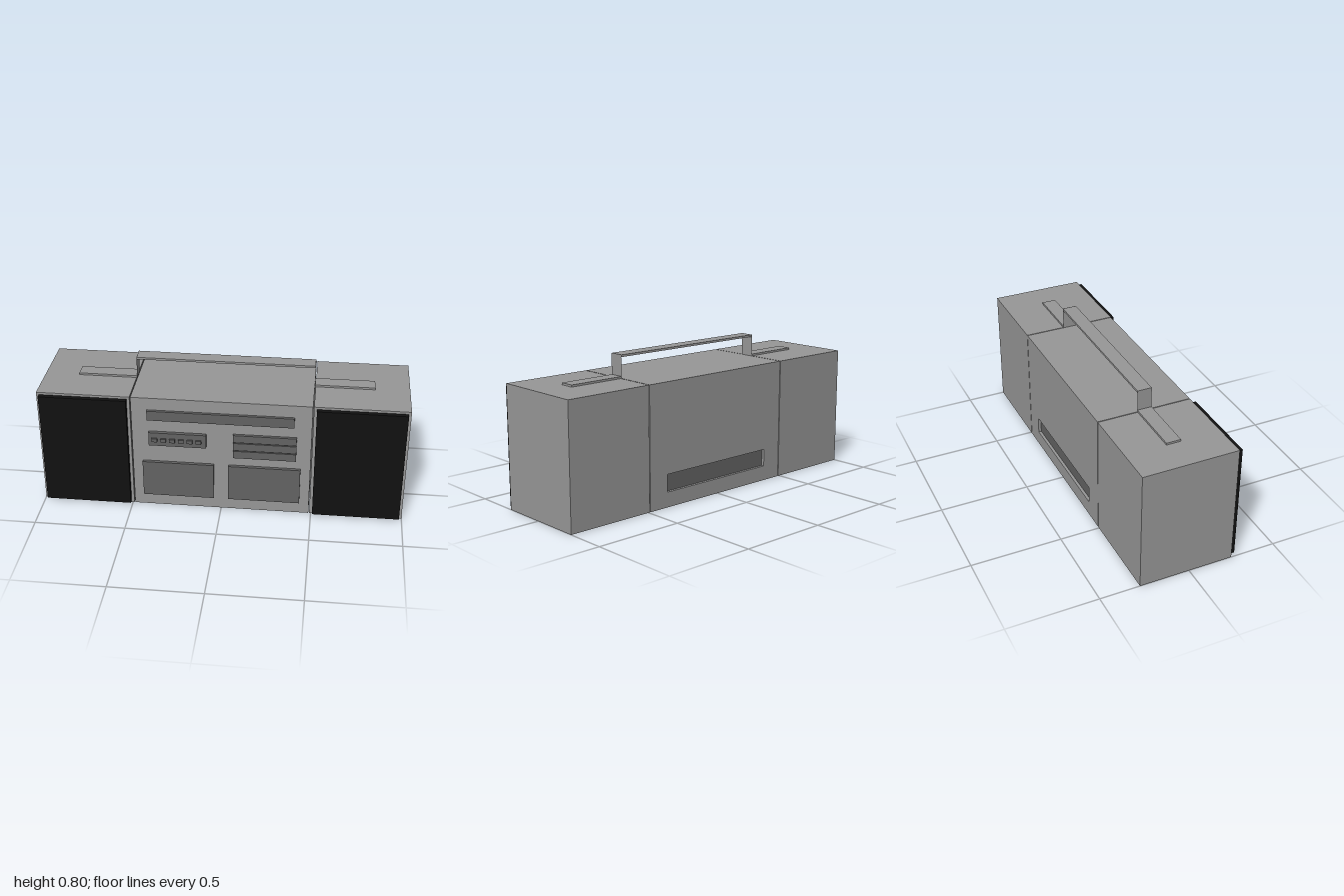
import * as THREE from 'three';

const grey = new THREE.MeshStandardMaterial({ color: 0x989898 });
const thinGrey = new THREE.MeshStandardMaterial({ color: 0x989898, side: THREE.DoubleSide });
const darkGrey = new THREE.MeshStandardMaterial({ color: 0x646464 });
const black = new THREE.MeshStandardMaterial({ color: 0x111111 });

const TOP = 0.678, BACK = -0.278, FRONT = 0.248;

// Box given by its extents on each axis
function block(name, [x0, x1], [y0, y1], [z0, z1], material = grey) {
  const mesh = new THREE.Mesh(new THREE.BoxGeometry(x1 - x0, y1 - y0, z1 - z0), material);
  mesh.position.set((x0 + x1) / 2, (y0 + y1) / 2, (z0 + z1) / 2);
  mesh.name = name;
  return mesh;
}

function rectangle(Type, x0, x1, y0, y1) {
  return new Type([[x0, y0], [x1, y0], [x1, y1], [x0, y1]].map(p => new THREE.Vector2(...p)));
}

// Centre unit with a shallow, dark-floored recess in its back
function centreUnit() {
  const group = new THREE.Group();
  group.name = 'centreUnit';
  const recess = 0.02, half = 0.487;
  const slotX = [-0.368, 0.368], slotY = [0.084, 0.182];
  const shape = rectangle(THREE.Shape, -half, half, 0, TOP);
  shape.holes.push(rectangle(THREE.Path, ...slotX, ...slotY));
  const panel = new THREE.Mesh(
    new THREE.ExtrudeGeometry(shape, { depth: recess, bevelEnabled: false }), grey);
  panel.position.z = BACK;
  panel.name = 'backPanel';
  group.add(
    panel,
    block('centreBody', [-half, half], [0, TOP], [BACK + recess, FRONT]),
    block('recessFloor', slotX, slotY, [BACK + recess - 0.004, BACK + recess], darkGrey));
  return group;
}

// Display, keys and cassette doors on the front
function controls() {
  const group = new THREE.Group();
  group.name = 'controls';
  const add = (name, x, y, z) => group.add(block(name, x, y, [FRONT, z], darkGrey));
  add('tunerDisplay', [-0.4, 0.393], [0.55, 0.607], 0.264);
  add('buttonPanel', [-0.393, -0.08], [0.396, 0.476], 0.268);
  for (let i = 0; i < 6; i++) {
    const x = -0.375 + i * 0.048;
    add('button', [x, x + 0.03], [0.424, 0.445], 0.279);
  }
  for (const y of [0.342, 0.3915, 0.441]) add('sliderBar', [0.066, 0.408], [y, y + 0.044], 0.264);
  for (const x of [-0.432, 0.041]) add('cassetteDoor', [x, x + 0.393], [0.073, 0.287], 0.266);
  return group;
}

// Carrying handle: flat bar, thin uprights and mounting strips
function handle() {
  const group = new THREE.Group();
  group.name = 'handle';
  const z = [-0.055, 0.025], barTop = 0.803;
  group.add(block('handleBar', [-0.487, 0.487], [0.791, barTop], z));
  for (const side of [-1, 1]) {
    const upright = new THREE.Mesh(new THREE.PlaneGeometry(0.08, barTop - TOP), thinGrey);
    upright.rotation.y = side * Math.PI / 2;
    upright.position.set(side * 0.488, (barTop + TOP) / 2, -0.015);
    upright.name = 'handleUpright';
    const x = [side * 0.489, side * 0.812].sort((a, b) => a - b);
    group.add(upright, block('handleStrip', x, [TOP, 0.689], z));
  }
  return group;
}

// Speaker box with its front grille
function speaker(side) {
  const group = new THREE.Group();
  group.name = side > 0 ? 'leftSpeaker' : 'rightSpeaker';
  const span = (a, b) => (side > 0 ? [a, b] : [-b, -a]);
  group.add(
    block('speakerBox', span(0.492, 1), [0, TOP], [BACK, FRONT]),
    block('speakerGrille', span(0.508, 0.985), [0.011, 0.665], [FRONT, 0.274], black));
  return group;
}

export function createModel() {
  const model = new THREE.Group();
  model.name = 'portableStereo';
  model.add(centreUnit(), controls(), handle(), speaker(1), speaker(-1));
  return model;
}
